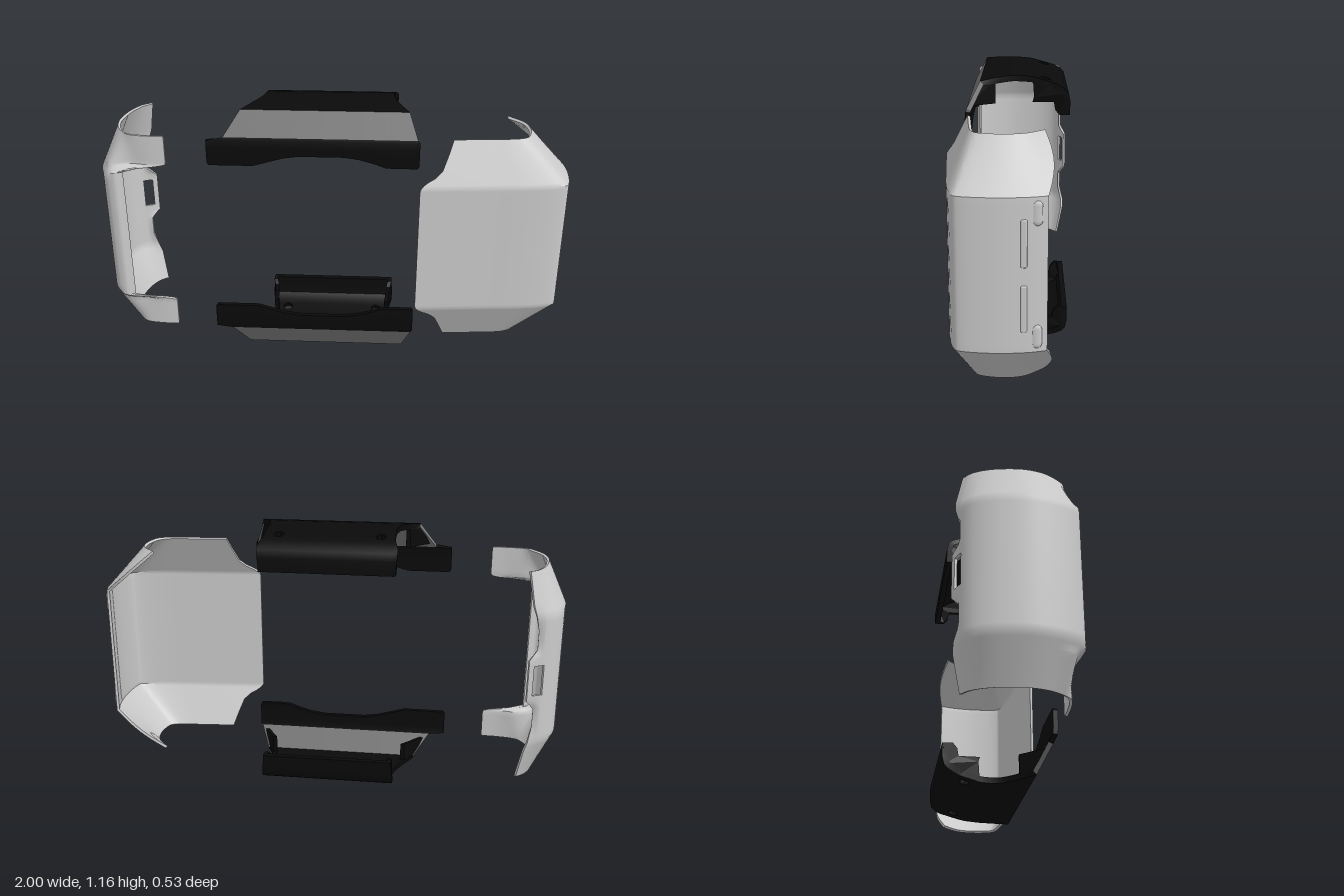
import * as THREE from 'three';
import { toCreasedNormals } from 'three/addons/utils/BufferGeometryUtils.js';
import { RoundedBoxGeometry } from 'three/addons/geometries/RoundedBoxGeometry.js';

const V = (x, y, z) => new THREE.Vector3(x, y, z);
const lerp = THREE.MathUtils.lerp;
const clamp01 = (v) => Math.min(1, Math.max(0, v));
const grey = new THREE.MeshStandardMaterial({ color: 0xcccccc });
const black = new THREE.MeshStandardMaterial({ color: 0x0a0a0a });
const midGrey = new THREE.MeshStandardMaterial({ color: 0x777777 });

// Piecewise-linear lookup in a table of [key, value] pairs
function pick(table, k) {
  if (k <= table[0][0]) return table[0][1];
  for (let i = 1; i < table.length; i++) {
    const [a, va] = table[i - 1], [b, vb] = table[i];
    if (k <= b) return lerp(va, vb, (k - a) / (b - a));
  }
  return table[table.length - 1][1];
}

// Solid sheet of thickness t behind a grid of points; keep(j, i) leaves cells out
function sheet(grid, t, keep = () => true) {
  const rows = grid.length, cols = grid[0].length;
  const at = (j, i) => grid[THREE.MathUtils.clamp(j, 0, rows - 1)][THREE.MathUtils.clamp(i, 0, cols - 1)];
  const inner = grid.map((row, j) => row.map((p, i) => {
    const du = at(j, i + 1).clone().sub(at(j, i - 1)), dv = at(j + 1, i).clone().sub(at(j - 1, i));
    return p.clone().addScaledVector(du.cross(dv).normalize(), -t);
  }));
  const on = (j, i) => j >= 0 && i >= 0 && j < rows - 1 && i < cols - 1 && keep(j, i);
  const pos = [];
  const quad = (a, b, c, d) => [a, b, c, a, c, d].forEach((p) => pos.push(p.x, p.y, p.z));
  for (let j = 0; j < rows - 1; j++) for (let i = 0; i < cols - 1; i++) {
    if (!on(j, i)) continue;
    const k = [[j, i], [j, i + 1], [j + 1, i + 1], [j + 1, i]];
    const o = k.map(([r, c]) => grid[r][c]), n = k.map(([r, c]) => inner[r][c]);
    quad(...o);
    quad(n[3], n[2], n[1], n[0]);
    [[j - 1, i], [j, i + 1], [j + 1, i], [j, i - 1]].forEach(([r, c], e) => {
      const f = (e + 1) % 4;
      if (!on(r, c)) quad(n[e], n[f], o[f], o[e]);
    });
  }
  const g = new THREE.BufferGeometry();
  g.setAttribute('position', new THREE.Float32BufferAttribute(pos, 3));
  return toCreasedNormals(g, 0.55);
}

function add(parent, name, geometry, material) {
  const m = new THREE.Mesh(geometry, material);
  m.name = name;
  parent.add(m);
  return m;
}

// Smooth horizontal section through [x, z] points at height y
const section = (pts, y, n) => {
  const c = new THREE.CatmullRomCurve3(pts.map(([x, z]) => V(x, y, z)), false, 'catmullrom', 0.5);
  return c.getPoints(n);
};
const blend = (A, B, t) => A.map((p, k) => [lerp(p[0], B[k][0], t), lerp(p[1], B[k][1], t)]);

// Large shell: flat front panel wrapping round the side
function wideShell() {
  const g = new THREE.Group();
  g.name = 'wideShell';
  const mid = [[0.83, 0.228], [0.95, 0.205], [0.984, 0.17], [0.998, 0.05], [0.99, -0.06], [0.972, -0.132]];
  const end = [[0.735, 0.15], [0.785, 0.138], [0.815, 0.11], [0.83, 0.03], [0.815, -0.05], [0.755, -0.122]];
  const frontEdge = [[0.28, 0.368], [0.305, 0.39], [0.325, 0.43], [0.35, 0.458], [0.41, 0.482], [0.467, 0.502]];
  const grid = [];
  for (let j = 0; j <= 72; j++) {
    const dy = lerp(-0.467, 0.467, j / 72), d = Math.abs(dy);
    const t = clamp01((d - 0.285) / 0.182);
    const side = blend(mid, end, t);
    side[5][1] -= 0.025 * Math.sin(Math.PI * t);
    const x0 = pick(frontEdge, d), panel = [];
    for (let k = 0; k < 3; k++) {
      const x = lerp(x0, side[0][0], k / 3);
      panel.push([x, 0.265 - 0.08 * (x - 0.37) - 0.085 * t]);
    }
    grid.push(section([...panel, ...side], 0.578 + dy, 40));
  }
  add(g, 'wideShellBody', sheet(grid, 0.012), grey);
  // Side button covers, mirrored above and below the middle
  for (const s of [-1, 1]) {
    const bar = add(g, 'longButton', new RoundedBoxGeometry(0.014, 0.175, 0.024, 2, 0.006), grey);
    bar.position.set(0.989, 0.578 + s * 0.12, -0.048);
    const oval = new THREE.CapsuleGeometry(0.019, 0.052, 4, 16);
    oval.scale(0.4, 1, 1);
    add(g, 'ovalButton', oval, grey).position.set(0.981, 0.578 + s * 0.227, -0.094);
  }
  return g;
}

// Narrow shell: C-shaped side with two front arms and a rear opening
function narrowShell() {
  const mid = [[-0.872, 0.192], [-0.885, 0.198], [-0.91, 0.208], [-0.95, 0.185], [-0.985, 0.1], [-1, 0],
    [-0.985, -0.12], [-0.955, -0.195], [-0.91, -0.236], [-0.86, -0.262]];
  const end = [[-0.69, 0.184], [-0.76, 0.182], [-0.835, 0.17], [-0.872, 0.135], [-0.905, 0.075], [-0.918, 0],
    [-0.91, -0.08], [-0.892, -0.145], [-0.865, -0.195], [-0.83, -0.225]];
  const rear = [[0.09, 1], [0.13, 0], [0.21, 0], [0.29, 0.8], [0.32, 1]];
  const ys = [0, 0.0325, 0.065, 0.09, 0.11, 0.13, 0.17, 0.21, 0.25, 0.275, 0.295, 0.31, 0.317, 0.322, 0.327,
    0.335, 0.35, 0.375, 0.4, 0.43, 0.447, 0.455];
  const dys = [...ys.slice(1).reverse().map((v) => -v), ...ys];
  const grid = dys.map((dy) => {
    const d = Math.abs(dy), t = clamp01((d - 0.275) / 0.18);
    const pts = blend(mid, end, t), e = pick(rear, d);
    pts[9][0] = lerp(-0.878, pts[9][0], Math.max(e, t)) + (d < 0.13 ? 0.012 * e : 0);
    pts[9][1] += (1 - e) * 0.025;
    // arms reach forward near both ends
    const arm = THREE.MathUtils.smoothstep(d, 0.298, 0.33);
    const reach = [-0.69 - (d > 0.447 ? 0.004 : 0), -0.76, -0.835];
    for (let k = 0; k < 3; k++) {
      pts[k][0] = lerp(mid[k][0], reach[k], arm);
      pts[k][1] = lerp(mid[k][1], end[k][1], arm);
    }
    return section(pts, 0.585 + dy, 54).reverse();
  });
  const opening = (j, i) => i >= 2 && i < 6 && Math.abs(dys[j] + dys[j + 1]) / 2 < 0.065;
  const g = new THREE.Group();
  g.name = 'narrowShell';
  add(g, 'narrowShellBody', sheet(grid, 0.011, (j, i) => !opening(j, i)), grey);
  return g;
}

// Bridge clip: front flange, bevel, waisted plate with two holes, rear wall
function clip(name) {
  const g = new THREE.Group();
  g.name = name;
  const hz = -0.135, r = 0.022, holes = [-0.225, 0.2];
  const slope = (z) => 1.155 + (z + 0.08) * 0.285;
  // each row: z, y, left x, right x
  const profile = [
    [0.19, 0.92, -0.505, 0.358], [0.19, 0.93, -0.515, 0.365], [0.19, 1.0, -0.515, 0.365],
    [0.187, 1.03, -0.515, 0.365], [0.183, 1.042, -0.445, 0.357],
    [0.13, 1.145, -0.375, 0.32], [0.07, 1.154, -0.335, 0.287], [0.03, 1.158, -0.31, 0.27],
    [0, 1.16, -0.296, 0.262], [-0.04, 1.159, -0.287, 0.257], [-0.08, 1.155, -0.283, 0.257],
    ...[-r, 0, r].map((o) => [hz - o * -1 * -1 * -1 * -1, 0, -0.285, 0.263]),
    [-0.18, 1.125, -0.292, 0.27], [-0.21, 1.108, -0.3, 0.28], [-0.225, 1.092, -0.3, 0.28],
    [-0.232, 1.06, -0.298, 0.278], [-0.232, 1.0, -0.29, 0.272],
  ];
  for (let k = 11; k < 14; k++) profile[k][1] = slope(profile[k][0]);
  const cols = [-0.285, -0.266];
  cols.push(...[-r, 0, r].map((o) => holes[0] + o), -0.17, -0.13, -0.09, -0.05, -0.01, 0.03, 0.07, 0.11, 0.15);
  cols.push(...[-r, 0, r].map((o) => holes[1] + o), 0.243, 0.263);
  const rise = [[-0.31, 0], [-0.23, 0.03], [-0.15, 0.045], [0.07, 0.045], [0.15, 0.03], [0.23, 0]];
  const grid = profile.map(([z, y, xl, xr], j) => cols.map((c) => {
    const x = lerp(xl, xr, (c + 0.285) / 0.548);
    if (j < 2) return V(x, y + pick(rise, x), z);
    // pull the corners of each hole onto a circle
    const h = holes.find((v) => Math.abs(Math.abs(c - v) - r) < 1e-6);
    if (h !== undefined && (j === 11 || j === 13)) {
      const zz = hz + (z - hz) * 0.71;
      return V(h + (c - h) * 0.71, slope(zz), zz);
    }
    return V(x, y, z);
  }));
  const isHole = (j, i) => (j === 11 || j === 12) && holes.some((h) => Math.abs((cols[i] + cols[i + 1]) / 2 - h) < r);
  add(g, 'clipFlange', sheet(grid, 0.02, (j) => j < 4), black);
  add(g, 'clipBevel', sheet(grid, 0.02, (j) => j === 4), midGrey);
  add(g, 'clipPlate', sheet(grid, 0.024, (j, i) => j > 4 && !isHole(j, i)), black);

  // Side walls follow the edge of the plate; outlines are [z, y]
  const rearWall = [[-0.08, 1.152], [-0.16, 1.128], [-0.222, 1.09], [-0.23, 1.0], [-0.19, 1.0], [-0.172, 1.02],
    [-0.166, 1.052], [-0.08, 1.05], [-0.086, 1.07]];
  const frontWall = [[0.07, 1.05], [0.178, 1.05], [0.13, 1.142], [0.07, 1.15]];
  const edges = profile.slice(4).sort((a, b) => a[0] - b[0]);
  for (const [part, outline] of [['clipRearSide', rearWall], ['clipFrontGusset', frontWall]]) {
    for (const s of [-1, 1]) {
      const geo = new THREE.ExtrudeGeometry(new THREE.Shape(outline.map(([z, y]) => new THREE.Vector2(-z, y))),
        { depth: 0.018, bevelEnabled: false });
      geo.rotateY(Math.PI / 2);
      const p = geo.attributes.position;
      for (let k = 0; k < p.count; k++) {
        const z = p.getZ(k), edge = pick(edges.map((e) => [e[0], s < 0 ? e[2] : e[3]]), z);
        p.setX(k, edge + p.getX(k) - (s > 0 ? 0.018 : 0));
      }
      geo.computeVertexNormals();
      add(g, part, geo, black);
    }
  }
  return g;
}

export function createModel() {
  const model = new THREE.Group();
  model.name = 'shellSet';
  model.add(wideShell(), narrowShell(), clip('topClip'));
  const bottom = clip('bottomClip');
  bottom.scale.y = -1;
  bottom.position.y = 1.16;
  model.add(bottom);
  return model;
}
